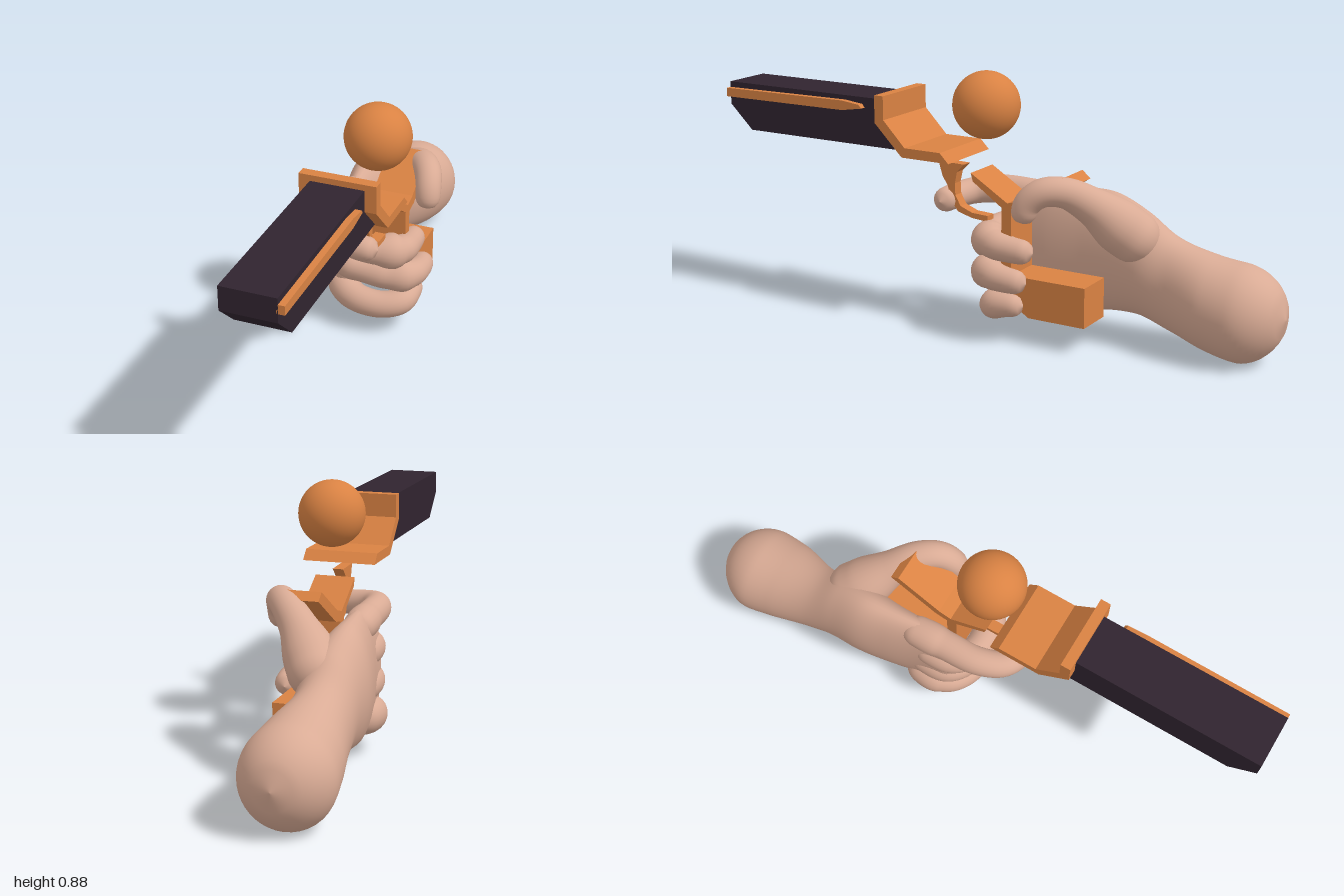
import * as THREE from 'three';

const mat = (name, color) => {
  const m = new THREE.MeshStandardMaterial({ color });
  m.name = name;
  return m;
};

// Smooth loft through nodes [x, y, z, rx, ry], with rounded ends.
// "upright" keeps every ring in the x-y plane.
function loft(nodes, steps, sides, upright = false) {
  const path = new THREE.CatmullRomCurve3(nodes.map(n => new THREE.Vector3(n[0], n[1], n[2])));
  const radii = new THREE.CatmullRomCurve3(nodes.map(n => new THREE.Vector3(n[3], n[4] ?? n[3], 0)));
  const frames = path.computeFrenetFrames(steps);
  const length = path.getLength();
  const X = new THREE.Vector3(1, 0, 0), Y = new THREE.Vector3(0, 1, 0);
  const positions = [], index = [];
  for (let i = 0; i <= steps; i++) {
    const u = i / steps, t = path.getUtoTmapping(u);
    const c = path.getPoint(t), r = radii.getPoint(t);
    const fromEnd = Math.min(u, 1 - u) * length, cap = Math.min(r.x, r.y);
    const k = fromEnd < cap ? Math.sqrt(Math.max(0, 1 - (1 - fromEnd / cap) ** 2)) : 1;
    const N = upright ? X : frames.normals[i], B = upright ? Y : frames.binormals[i];
    for (let j = 0; j < sides; j++) {
      const a = j / sides * Math.PI * 2;
      const p = c.clone().addScaledVector(N, Math.cos(a) * r.x * k).addScaledVector(B, Math.sin(a) * r.y * k);
      positions.push(p.x, p.y, p.z);
      if (i < steps) {
        const a0 = i * sides + j, b0 = i * sides + (j + 1) % sides;
        index.push(a0, b0, a0 + sides, b0, b0 + sides, a0 + sides);
      }
    }
  }
  const g = new THREE.BufferGeometry();
  g.setAttribute('position', new THREE.Float32BufferAttribute(positions, 3));
  g.setIndex(index);
  g.computeVertexNormals();
  return g;
}

// Side profile of [z, y] points, extruded from x0 to x1
function profile(points, x0, x1) {
  const shape = new THREE.Shape(points.map(([z, y]) => new THREE.Vector2(-z, y)));
  const g = new THREE.ExtrudeGeometry(shape, { depth: x1 - x0, bevelEnabled: false });
  return g.rotateY(Math.PI / 2).translate(x0, 0, 0);
}

export function createModel() {
  const skin = mat('skin', 0xd9ab95);
  const orange = mat('orange', 0xd98243);
  const dark = mat('darkBarrel', 0x30242f);
  const model = new THREE.Group();
  const add = (name, geometry, material, parent = model) => {
    const m = new THREE.Mesh(geometry, material);
    m.name = name;
    parent.add(m);
    return m;
  };

  // Floating ball
  add('ball', new THREE.SphereGeometry(0.112, 40, 28), orange).position.set(0.077, 0.773, -0.003);

  // Barrel with chamfered lower muzzle, and its side rail
  add('barrel', profile([[1, 0.77], [0.335, 0.77], [0.335, 0.69], [0.25, 0.605], [0.91, 0.605], [1, 0.69]],
    -0.013, 0.166), dark);
  add('sideRail', profile([[1, 0.75], [0.5, 0.755], [0.43, 0.747], [0.42, 0.735], [0.5, 0.722], [1, 0.72]],
    0.16, 0.187), orange);

  // Bent bracket behind the barrel
  add('bracket', profile([[0.353, 0.79], [0.318, 0.79], [0.318, 0.71], [0.235, 0.625], [0.098, 0.625],
    [0.065, 0.592], [0.247, 0.592], [0.353, 0.697]], -0.05, 0.205), orange);

  // Grip frame, lower grip block and trigger
  add('gripFrame', profile([[0.018, 0.556], [-0.12, 0.472], [-0.165, 0.485], [-0.32, 0.58], [-0.35, 0.555],
    [-0.18, 0.45], [-0.135, 0.44], [-0.135, 0.2], [-0.098, 0.2], [-0.098, 0.455], [0.01, 0.528]], 0.005, 0.143), orange);
  add('gripBlock', profile([[-0.1, 0.23], [-0.405, 0.23], [-0.405, 0.095], [-0.2, 0.095], [-0.1, 0.16]],
    0.005, 0.143), orange);
  add('trigger', profile([[0.17, 0.57], [0.07, 0.568], [0.098, 0.54], [0.107, 0.5], [0.105, 0.46], [0.085, 0.425],
    [0.04, 0.408], [-0.02, 0.405], [-0.02, 0.385], [0.04, 0.39], [0.095, 0.405], [0.122, 0.44], [0.135, 0.49],
    [0.155, 0.52]], 0.063, 0.1), orange);

  // Hand
  const hand = new THREE.Group();
  hand.name = 'hand';
  model.add(hand);

  // Forearm stub, wrist and palm
  add('palmAndWrist', loft([
    [-0.075, 0.165, -1.0, 0.145, 0.15], [-0.077, 0.162, -0.87, 0.152, 0.16], [-0.075, 0.18, -0.75, 0.138, 0.158],
    [-0.083, 0.22, -0.61, 0.104, 0.158], [-0.082, 0.27, -0.51, 0.1, 0.175], [-0.09, 0.292, -0.4, 0.093, 0.2],
    [-0.085, 0.288, -0.3, 0.078, 0.212], [-0.072, 0.285, -0.17, 0.06, 0.212], [-0.07, 0.285, -0.04, 0.045, 0.19],
  ], 70, 40, true), skin, hand);

  // Fingers and thumb: joints as [x, y, z, radius]
  const digits = {
    indexFinger: [[-0.08, 0.44, -0.25, 0.05], [-0.077, 0.452, -0.1, 0.05], [-0.07, 0.455, 0.03, 0.048],
      [-0.03, 0.447, 0.11, 0.045], [0.05, 0.44, 0.143, 0.043], [0.135, 0.438, 0.145, 0.04]],
    middleFinger: [[-0.08, 0.345, -0.2, 0.055], [-0.075, 0.35, -0.07, 0.053], [-0.02, 0.345, -0.02, 0.05],
      [0.075, 0.337, -0.018, 0.051], [0.136, 0.328, -0.06, 0.051], [0.147, 0.32, -0.13, 0.044], [0.142, 0.315, -0.215, 0.038]],
    ringFinger: [[-0.08, 0.235, -0.22, 0.055], [-0.08, 0.242, -0.09, 0.053], [-0.02, 0.24, -0.04, 0.05],
      [0.1, 0.237, -0.035, 0.05], [0.167, 0.234, -0.07, 0.05], [0.183, 0.228, -0.13, 0.043], [0.175, 0.222, -0.21, 0.037]],
    littleFinger: [[-0.085, 0.14, -0.24, 0.055], [-0.085, 0.132, -0.1, 0.055], [-0.02, 0.115, -0.045, 0.05],
      [0.08, 0.108, -0.04, 0.047], [0.14, 0.118, -0.07, 0.046], [0.155, 0.13, -0.12, 0.04], [0.15, 0.135, -0.185, 0.034]],
    thumb: [[-0.07, 0.32, -0.55, 0.085], [-0.01, 0.4, -0.46, 0.088], [0.06, 0.48, -0.385, 0.062],
      [0.125, 0.53, -0.32, 0.05], [0.165, 0.53, -0.26, 0.047], [0.182, 0.49, -0.215, 0.044], [0.184, 0.425, -0.2, 0.04]],
  };
  for (const [name, joints] of Object.entries(digits)) add(name, loft(joints, 48, 24), skin, hand);

  return model;
}
